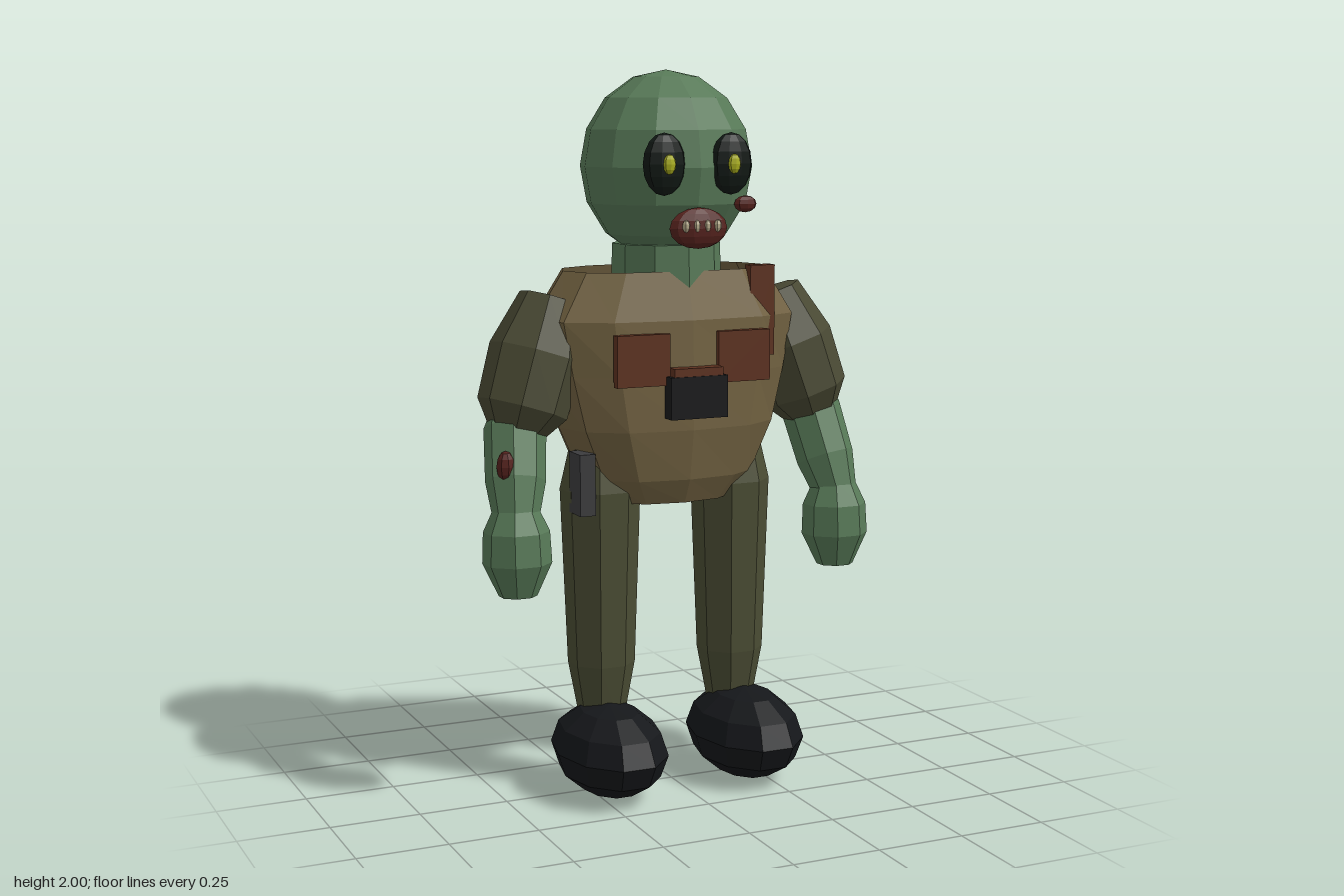
import * as THREE from 'three';

const mat = (color, side = THREE.FrontSide) =>
  new THREE.MeshStandardMaterial({ color, flatShading: true, side });

const M = {
  skin: mat(0x587a58), shirt: mat(0x736342, THREE.DoubleSide), sleeve: mat(0x4a4a34),
  trousers: mat(0x4b4d34), boot: mat(0x15171a), socket: mat(0x111814), eye: mat(0xa9ad1e),
  gore: mat(0x55221d), tooth: mat(0xb3a888), leather: mat(0x5e3220), black: mat(0x1a1a1b),
  metal: mat(0x3c3c3e),
};

export function createModel() {
  const model = new THREE.Group();

  const add = (name, geometry, material, pos = [0, 0, 0]) => {
    const mesh = new THREE.Mesh(geometry, material);
    mesh.name = name;
    mesh.position.set(...pos);
    model.add(mesh);
    return mesh;
  };
  const ball = (name, material, pos, radii, w = 10, h = 8) =>
    add(name, new THREE.SphereGeometry(1, w, h).scale(...radii), material, pos);
  const box = (name, material, pos, size) =>
    add(name, new THREE.BoxGeometry(...size), material, pos);

  // Faceted limb turned around the line from a (lower) to b (upper).
  // Profile entries are [radius, fraction of the length].
  const limb = (name, material, a, b, profile, sides = 8) => {
    const start = new THREE.Vector3(...a);
    const dir = new THREE.Vector3(...b).sub(start);
    const pts = profile.map(([r, t]) => new THREE.Vector2(r, t * dir.length()));
    const mesh = add(name, new THREE.LatheGeometry(pts, sides, Math.PI / sides), material, a);
    mesh.quaternion.setFromUnitVectors(new THREE.Vector3(0, 1, 0), dir.normalize());
    return mesh;
  };

  // Head and neck
  ball('head', M.skin, [0, 1.74, -0.038], [0.24, 0.26, 0.23], 12, 8);
  add('neck', new THREE.CylinderGeometry(0.15, 0.155, 0.2, 10), M.skin, [0, 1.43, -0.035]);

  // Face
  for (const s of [-1, 1]) {
    ball('eyeSocket', M.socket, [s * 0.098, 1.75, 0.17], [0.062, 0.083, 0.03]);
    ball('eye', M.eye, [s * 0.095, 1.75, 0.195], [0.02, 0.027, 0.014], 8, 6);
  }
  ball('mouth', M.gore, [0, 1.58, 0.175], [0.085, 0.055, 0.028]);
  for (let i = 0; i < 4; i++)
    ball('tooth', M.tooth, [(i - 1.5) * 0.031, 1.587, 0.197], [0.011, 0.017, 0.011], 6, 5);
  ball('cheekWound', M.gore, [0.157, 1.64, 0.138], [0.034, 0.023, 0.018], 8, 6);

  // Torso: open shell, rings of [y, half width, back z, front z]
  const rings = [
    [0.82, 0.19, -0.22, 0.09], [0.89, 0.25, -0.24, 0.125], [1.03, 0.315, -0.258, 0.148],
    [1.18, 0.355, -0.262, 0.148], [1.33, 0.385, -0.245, 0.143], [1.46, 0.3, -0.208, 0.105],
  ];
  const torso = new THREE.LatheGeometry(rings.map(([y, w]) => new THREE.Vector2(w, y)), 12);
  const p = torso.attributes.position;
  const soften = (v) => Math.sign(v) * Math.abs(v) ** 0.8;
  for (let i = 0; i < p.count; i++) {
    const [, w, back, front] = rings[i % rings.length];
    p.setX(i, w * soften(p.getX(i) / w));
    p.setZ(i, (back + front) / 2 + ((front - back) / 2) * soften(p.getZ(i) / w));
  }
  add('torso', torso, M.shirt);

  // Arms, legs and boots
  for (const s of [-1, 1]) {
    limb('upperArm', M.sleeve, [s * 0.455, 1.02, -0.02], [s * 0.335, 1.385, -0.06],
      [[0, 0], [0.075, 0.02], [0.125, 0.2], [0.13, 0.6], [0.085, 1], [0, 1]]);
    limb('forearm', M.skin, [s * 0.488, 0.8, 0.07], [s * 0.445, 1.1, -0.05],
      [[0, 0], [0.06, 0], [0.082, 0.35], [0.085, 0.8], [0.06, 1], [0, 1]]);
    limb('hand', M.skin, [s * 0.485, 0.6, 0.07], [s * 0.485, 0.85, 0.06],
      [[0, 0], [0.052, 0], [0.094, 0.36], [0.09, 0.7], [0.055, 1], [0, 1]]);
    limb('leg', M.trousers, [s * 0.2, 0.2, -0.035], [s * 0.2, 0.97, -0.04],
      [[0, 0], [0.064, 0], [0.094, 0.21], [0.112, 0.85], [0.085, 1], [0, 1]]);
    ball('boot', M.boot, [s * 0.21, 0.13, 0.042], [0.152, 0.128, 0.225], 10, 6);
  }
  ball('armWound', M.gore, [-0.515, 0.955, 0.068], [0.026, 0.042, 0.025], 8, 6);

  // Chest gear
  for (const s of [-1, 1])
    box('chestPocket', M.leather, [s * 0.15, 1.228, 0.141], [0.155, 0.14, 0.026]);
  box('pouch', M.black, [0, 1.125, 0.164], [0.168, 0.115, 0.044]);
  box('pouchFlap', M.leather, [0, 1.185, 0.16], [0.145, 0.04, 0.045]);
  box('shoulderStrap', M.leather, [0.228, 1.345, 0.088], [0.074, 0.25, 0.036]);

  // Hip holster
  box('holster', M.metal, [-0.28, 0.885, 0.03], [0.045, 0.17, 0.08]);

  return model;
}
